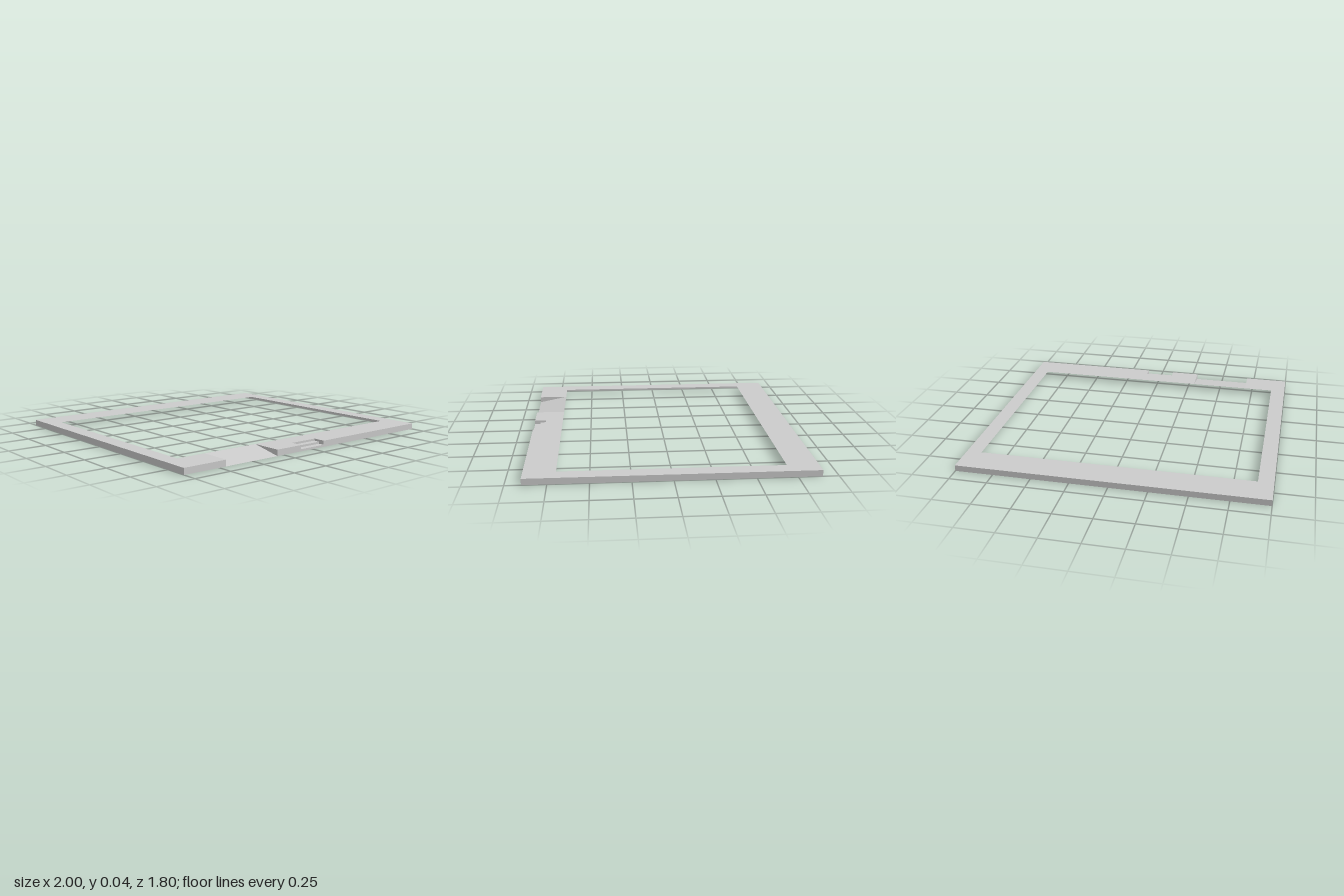
import * as THREE from 'three';

const H = 0.04;            // height of the walkway
const X = 1, Z = 0.9;      // outer half sizes
const IX = 0.9, IZ = 0.7;  // opening half sizes

const material = new THREE.MeshStandardMaterial({ color: 0xcccccc, side: THREE.DoubleSide, flatShading: true });

// Sweeps a [z, y] profile along x from x0 to x1 as flat strips
function strip(profile, x0, x1) {
  const pos = [];
  for (let i = 0; i < profile.length - 1; i++) {
    const [za, ya] = profile[i], [zb, yb] = profile[i + 1];
    pos.push(x0, ya, za, x0, yb, zb, x1, yb, zb, x0, ya, za, x1, yb, zb, x1, ya, za);
  }
  const g = new THREE.BufferGeometry();
  g.setAttribute('position', new THREE.Float32BufferAttribute(pos, 3));
  g.computeVertexNormals();
  return g;
}

// Vertical wall under a path of [x, z] points
function wall(path) {
  const pos = [];
  for (let i = 0; i < path.length - 1; i++) {
    const [xa, za] = path[i], [xb, zb] = path[i + 1];
    pos.push(xa, H, za, xa, 0, za, xb, 0, zb, xa, H, za, xb, 0, zb, xb, H, zb);
  }
  const g = new THREE.BufferGeometry();
  g.setAttribute('position', new THREE.Float32BufferAttribute(pos, 3));
  g.computeVertexNormals();
  return g;
}

// Upright side panel between a [z, y] profile and the deck level; inward is +1 or -1 along x
function cheek(profile, x, inward) {
  const pts = [...profile, [Z, H]].map(([z, y]) => new THREE.Vector2(-z, y));
  const g = new THREE.ShapeGeometry(new THREE.Shape(pts));
  g.rotateY(Math.PI / 2);
  if (inward < 0) g.scale(-1, 1, 1), g.index.array.reverse(), g.computeVertexNormals();
  return g.translate(x, 0, 0);
}

export function createModel() {
  const model = new THREE.Group();
  const add = (name, geometry, parent = model) => {
    const mesh = new THREE.Mesh(geometry, material);
    mesh.name = name;
    parent.add(mesh);
  };

  const ramp = { x0: -0.7, x1: -0.3, profile: [[IZ, H], [Z, 0]] };
  const stairs = { x0: -0.1, x1: 0.1, profile: [] };
  const back = 0.82, risers = 3;
  for (let i = 0; i < risers; i++) {
    const z = back + (Z - back) * i / (risers - 1);
    stairs.profile.push([z, H * (1 - i / risers)], [z, H * (1 - (i + 1) / risers)]);
  }

  // Deck: one ring outline, cut open at the ramp and notched at the stairs
  const outline = [
    [ramp.x0, Z], [-X, Z], [-X, -Z], [X, -Z], [X, Z],
    [stairs.x1, Z], [stairs.x1, back], [stairs.x0, back], [stairs.x0, Z],
    [ramp.x1, Z], [ramp.x1, IZ], [IX, IZ], [IX, -IZ], [-IX, -IZ], [-IX, IZ], [ramp.x0, IZ],
  ];
  const deck = new THREE.ShapeGeometry(new THREE.Shape(outline.map(([x, z]) => new THREE.Vector2(x, -z))));
  add('deck', deck.rotateX(-Math.PI / 2).translate(0, H, 0));

  // Outer skirt, with gaps at the ramp and stairs
  add('outerSkirt', wall(outline.slice(0, 6).reverse()));
  add('frontSkirt', wall([[ramp.x1, Z], [stairs.x0, Z]]));

  // Ramp and stairs with their side cheeks
  for (const [name, part] of Object.entries({ ramp, stairs })) {
    const group = new THREE.Group();
    group.name = name;
    add(name + 'Surface', strip(part.profile, part.x0, part.x1), group);
    add(name + 'RightCheek', cheek(part.profile, part.x0, 1), group);
    add(name + 'LeftCheek', cheek(part.profile, part.x1, -1), group);
    model.add(group);
  }
  return model;
}
